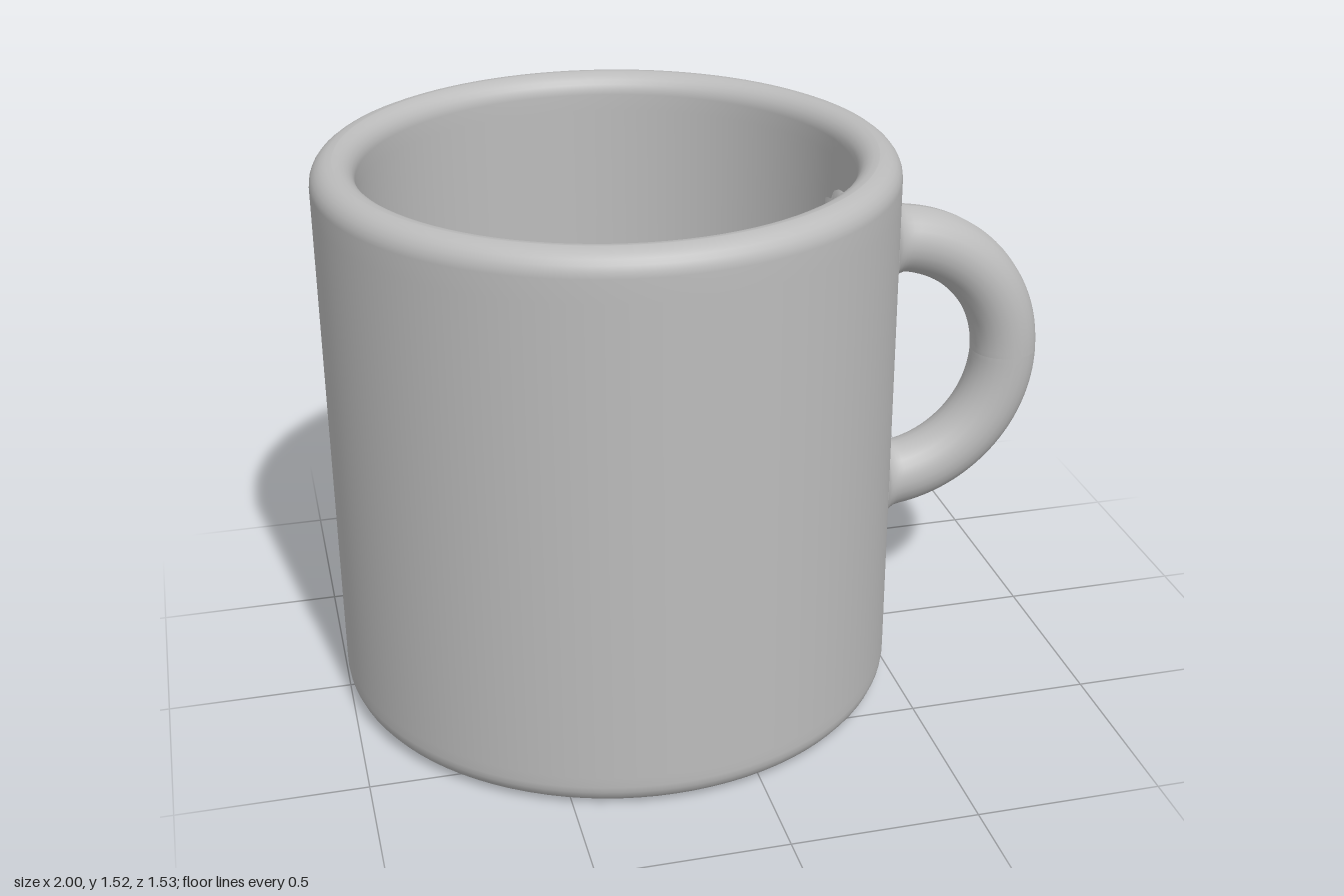
import * as THREE from 'three';

const CUP_X = -0.233, R_OUT = 0.767, R_IN = 0.65, HEIGHT = 1.525, FLOOR = 0.12;

// Quarter-round corner points between two angles
function arc(cx, cy, r, from, to, steps = 6) {
  return Array.from({ length: steps + 1 }, (_, i) => {
    const a = THREE.MathUtils.degToRad(from + ((to - from) * i) / steps);
    return new THREE.Vector2(cx + r * Math.cos(a), cy + r * Math.sin(a));
  });
}

// Hollow cup wall, rounded at rim and foot
function cupGeometry() {
  const rim = 0.06, foot = 0.065, inner = 0.03;
  const profile = [
    new THREE.Vector2(0, 0),
    new THREE.Vector2(R_OUT - foot - 0.02, 0),
    ...arc(R_OUT - foot, foot, foot, -90, 0),
    new THREE.Vector2(R_OUT, foot + 0.03),
    new THREE.Vector2(R_OUT, HEIGHT - 0.12),
    ...arc(R_OUT - rim, HEIGHT - rim, rim, 0, 90),
    ...arc(R_IN + 0.055, HEIGHT - 0.055, 0.055, 90, 180),
    new THREE.Vector2(R_IN, HEIGHT - 0.1),
    new THREE.Vector2(R_IN, FLOOR + inner + 0.02),
    ...arc(R_IN - inner, FLOOR + inner, inner, 0, -90, 4),
    new THREE.Vector2(R_IN - inner - 0.02, FLOOR),
    new THREE.Vector2(0, FLOOR),
  ];
  return new THREE.LatheGeometry(profile, 96);
}

// Full ring through the wall, flared into a fillet where it meets either face
function handleGeometry(center) {
  const major = 0.364, minor = 0.093, fillet = 0.065;
  const geo = new THREE.TorusGeometry(major, minor, 24, 144);
  const pos = geo.attributes.position;
  const p = new THREE.Vector3(), core = new THREE.Vector3(), out = new THREE.Vector3();
  for (let i = 0; i < pos.count; i++) {
    p.fromBufferAttribute(pos, i);
    core.set(p.x, p.y, 0).setLength(major);
    out.subVectors(p, core).normalize();
    const r = Math.hypot(p.x + center.x - CUP_X, p.z);
    const d = Math.max(r - R_OUT, R_IN - r, 0);
    if (d < fillet) {
      p.addScaledVector(out, fillet - Math.sqrt(fillet ** 2 - (fillet - d) ** 2));
      pos.setXYZ(i, p.x, p.y, p.z);
    }
  }
  geo.computeVertexNormals();
  return geo;
}

export function createModel() {
  const model = new THREE.Group();
  model.name = 'mug';
  const ceramic = new THREE.MeshStandardMaterial({ color: 0xbcbcbc });
  ceramic.name = 'grey ceramic';

  const cup = new THREE.Mesh(cupGeometry(), ceramic);
  cup.name = 'cup';
  cup.position.x = CUP_X;

  const center = new THREE.Vector3(0.543, 0.84, 0);
  const handle = new THREE.Mesh(handleGeometry(center), ceramic);
  handle.name = 'handle';
  handle.position.copy(center);

  model.add(cup, handle);
  return model;
}
